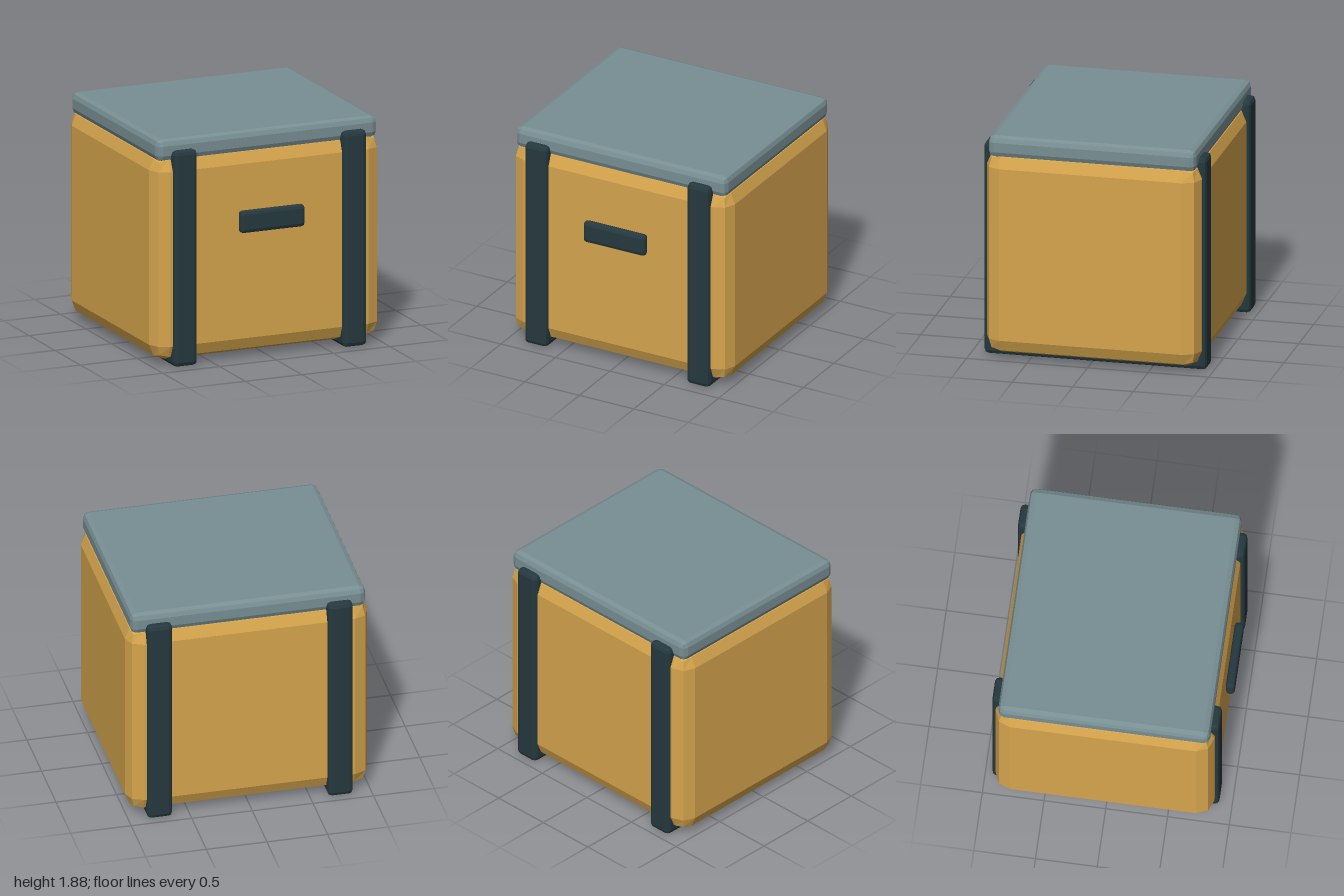
import * as THREE from 'three';
import { RoundedBoxGeometry } from 'three/addons/geometries/RoundedBoxGeometry.js';

const paint = (name, color) => {
  const m = new THREE.MeshStandardMaterial({ color });
  m.name = name;
  return m;
};

// Box with two-facet bevels, given by its [min, max] range on each axis
function bevelBox(name, material, [x0, x1], [y0, y1], [z0, z1], bevel) {
  const geometry = new RoundedBoxGeometry(x1 - x0, y1 - y0, z1 - z0, 1, bevel);
  geometry.computeVertexNormals(); // flat facets
  const mesh = new THREE.Mesh(geometry, material);
  mesh.name = name;
  mesh.position.set((x0 + x1) / 2, (y0 + y1) / 2, (z0 + z1) / 2);
  return mesh;
}

export function createModel() {
  const ochre = paint('ochre', 0xd6a54d);
  const greyBlue = paint('greyBlue', 0x788f94);
  const darkTeal = paint('darkTeal', 0x25393f);

  const crate = new THREE.Group();
  crate.name = 'crate';

  // Main box and its lid
  crate.add(bevelBox('body', ochre, [-1, 1], [0.04, 1.75], [-0.91, 0.862], 0.13));
  crate.add(bevelBox('lid', greyBlue, [-0.97, 0.97], [1.70, 1.88], [-0.88, 0.834], 0.05));

  // Straps wrapping front, bottom and back
  for (const [name, x] of [['leftStrap', 0.745], ['rightStrap', -0.745]]) {
    crate.add(bevelBox(name, darkTeal, [x - 0.105, x + 0.105], [0, 1.79], [-0.942, 0.895], 0.035));
  }

  // Front handle
  crate.add(bevelBox('handle', darkTeal, [-0.285, 0.285], [1.06, 1.245], [0.87, 0.942], 0.03));

  return crate;
}
